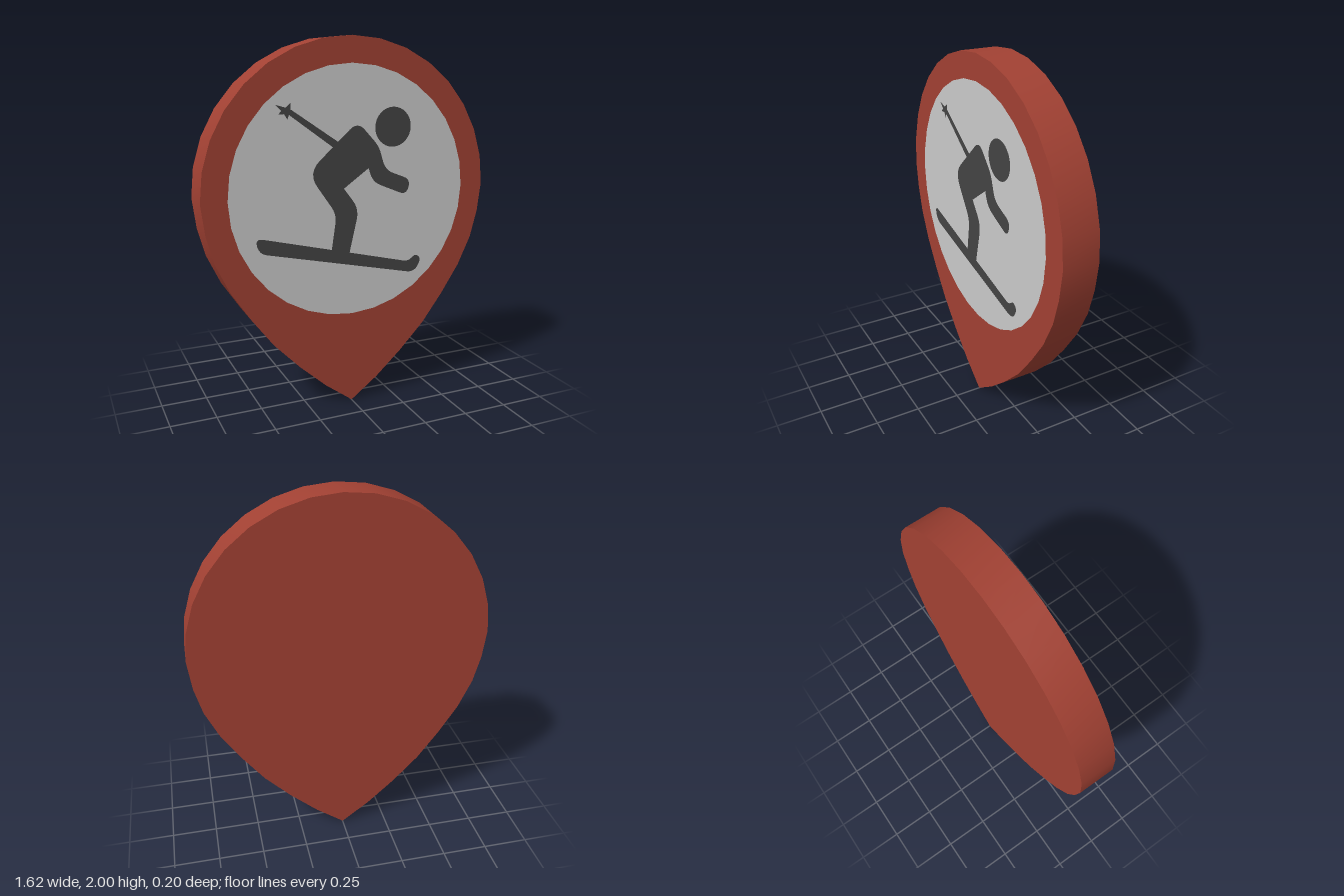
import * as THREE from 'three';
import { toCreasedNormals } from 'three/addons/utils/BufferGeometryUtils.js';

const RED = 0xa24133, GREY = 0xcccccc, DARK = 0x444444;
const CENTRE_Y = 1.19, DEPTH = 0.2;

// Closed outline from corners [x, y, cut]; cut is how far each corner is rounded back
function roundedShape(corners) {
  const shape = new THREE.Shape();
  const n = corners.length;
  corners.forEach(([x, y, cut = 0], i) => {
    const p = new THREE.Vector2(x, y);
    const toward = (q) => new THREE.Vector2(q[0], q[1]).sub(p).setLength(cut).add(p);
    const a = toward(corners[(i + n - 1) % n]);
    const b = toward(corners[(i + 1) % n]);
    if (i === 0) shape.moveTo(a.x, a.y);
    else shape.lineTo(a.x, a.y);
    if (cut > 0) shape.quadraticCurveTo(x, y, b.x, b.y);
  });
  shape.closePath();
  return shape;
}

export function createModel() {
  const group = new THREE.Group();
  const add = (name, geometry, color, x = 0, y = 0, z = 0) => {
    const mesh = new THREE.Mesh(geometry, new THREE.MeshStandardMaterial({ color }));
    mesh.name = name;
    mesh.position.set(x, y, z);
    group.add(mesh);
  };

  // Pin body: 32-sided round top, lower half drawn down to a point
  const half = [[0.79, 1.03], [0.75, 0.88], [0.675, 0.72], [0.57, 0.56], [0.45, 0.4], [0.305, 0.25], [0.155, 0.115]];
  const outline = [];
  for (let i = 0; i <= 16; i++) {
    const a = (i / 16) * Math.PI;
    outline.push(new THREE.Vector2(0.81 * Math.cos(a), CENTRE_Y + 0.81 * Math.sin(a)));
  }
  half.forEach(([x, y]) => outline.push(new THREE.Vector2(-x, y)));
  outline.push(new THREE.Vector2(0, 0));
  [...half].reverse().forEach(([x, y]) => outline.push(new THREE.Vector2(x, y)));
  const body = new THREE.ExtrudeGeometry(new THREE.Shape(outline), { depth: DEPTH, bevelEnabled: false });
  body.translate(0, 0, -DEPTH / 2);
  add('pinBody', toCreasedNormals(body, 0.6), RED);

  // Face disc, inlaid on the front
  const front = DEPTH / 2;
  add('faceDisc', new THREE.CircleGeometry(0.673, 32), GREY, 0, CENTRE_Y, front + 0.001);

  // Skier pictogram
  const z = front + 0.002;
  const flat = (name, corners) => add(name, new THREE.ShapeGeometry(roundedShape(corners), 6), DARK, 0, 0, z);

  add('head', new THREE.CircleGeometry(0.106, 32), DARK, 0.238, 1.53, z);

  flat('skierBody', [
    [-0.25, 1.31, 0.09], [0.03, 1.565, 0.06], [0.155, 1.43, 0.04], [0.195, 1.3, 0.05],
    [0.35, 1.24, 0.045], [0.325, 1.155, 0.045], [0.12, 1.24, 0.05], [0.095, 1.317],
    [-0.048, 1.216], [0.04, 1.1, 0.06], [-0.016, 0.86], [-0.12, 0.88], [-0.09, 1.08, 0.05],
  ]);

  flat('ski', [
    [-0.54, 0.995, 0.045], [0.345, 0.775, 0.03], [0.39, 0.815, 0.025], [0.425, 0.785, 0.025],
    [0.39, 0.705, 0.055], [-0.52, 0.91, 0.045],
  ]);

  flat('pole', [[-0.35, 1.612], [-0.335, 1.635], [-0.06, 1.45], [-0.1, 1.43]]);

  flat('poleBasket', [
    [-0.418, 1.661], [-0.363, 1.646], [-0.338, 1.668], [-0.337, 1.634], [-0.315, 1.618],
    [-0.345, 1.614], [-0.355, 1.587], [-0.372, 1.614], [-0.402, 1.613], [-0.387, 1.631],
  ]);

  return group;
}
